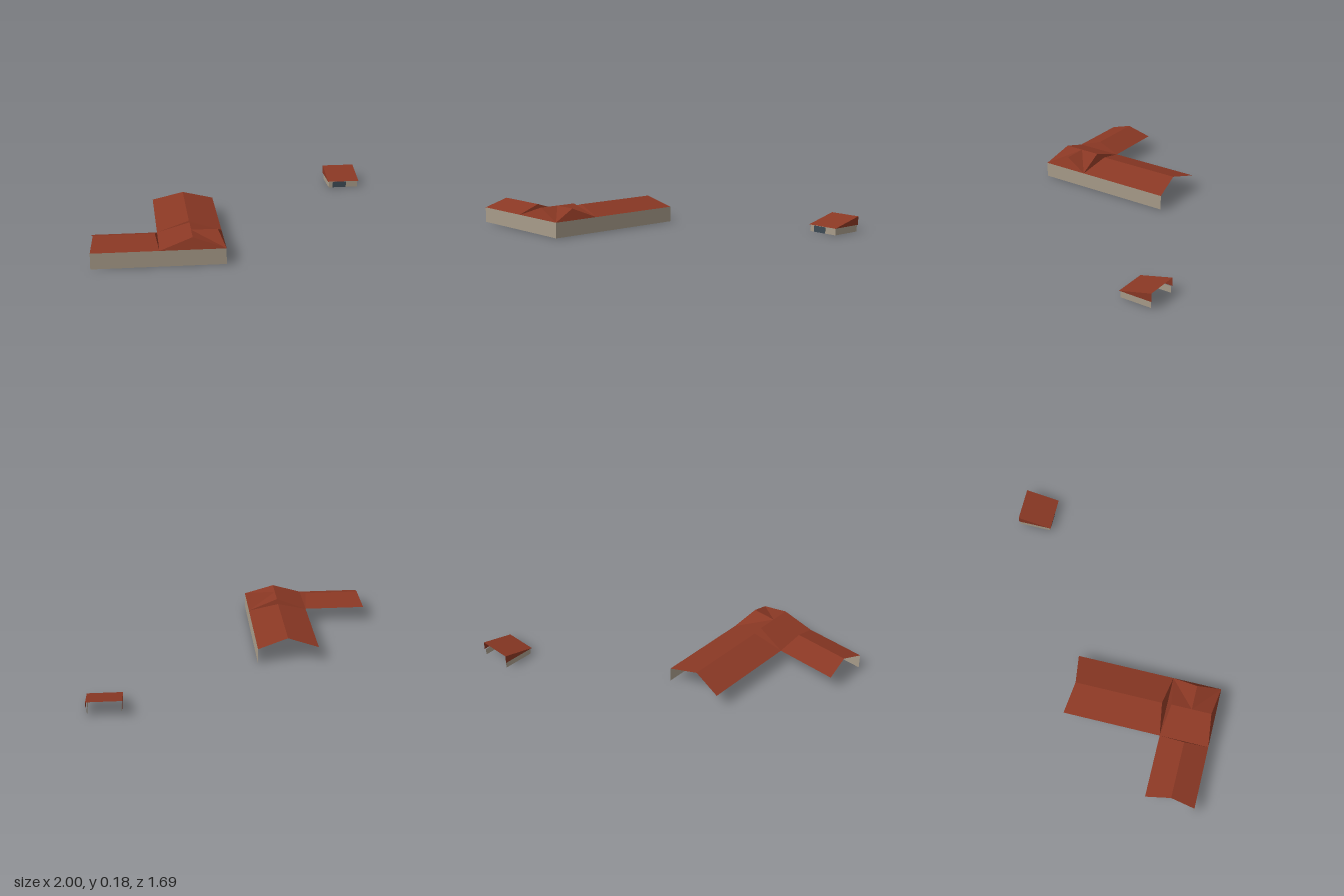
import * as THREE from 'three';

// Flat surface made of convex faces; each face lists its corners counter-clockwise from outside
function faces(name, material, polygons) {
  const positions = [];
  for (const p of polygons) {
    for (let i = 1; i < p.length - 1; i++) positions.push(...p[0], ...p[i], ...p[i + 1]);
  }
  const geometry = new THREE.BufferGeometry();
  geometry.setAttribute('position', new THREE.Float32BufferAttribute(positions, 3));
  geometry.computeVertexNormals();
  const mesh = new THREE.Mesh(geometry, material);
  mesh.name = name;
  return mesh;
}

// Upright walls along a plan path of [x, z] points
function walls(name, material, path, height) {
  const polygons = [];
  for (let i = 0; i < path.length - 1; i++) {
    const [ax, az] = path[i], [bx, bz] = path[i + 1];
    polygons.push([[ax, 0, az], [bx, 0, bz], [bx, height, bz], [ax, height, az]]);
  }
  return faces(name, material, polygons);
}

export function createModel() {
  const model = new THREE.Group();
  model.name = 'courtyardBuildings';

  const roofRed = new THREE.MeshStandardMaterial({ color: 0x8a3824, side: THREE.DoubleSide });
  roofRed.name = 'roofRed';
  const wallStone = new THREE.MeshStandardMaterial({ color: 0xa89c8a, side: THREE.DoubleSide });
  wallStone.name = 'wallStone';
  const doorSlate = new THREE.MeshStandardMaterial({ color: 0x3e4a54, side: THREE.DoubleSide });
  doorSlate.name = 'doorSlate';

  // Shared plan lines
  const eave = 0.105;
  const west = -1, inner = -0.57, mid = -0.36, east = -0.15;
  const back = -0.16, court = 0.51, axis = 0.68, front = 0.845;

  // Side wing: ridge along x, open at the far end, hipped towards the corner block
  const sideWing = new THREE.Group();
  sideWing.name = 'sideWing';
  {
    const a = [west, eave, court], b = [inner, eave, court];
    const c = [inner, eave, front], d = [west, eave, front];
    const r0 = [west + 0.02, 0.16, axis], r1 = [inner - 0.02, 0.16, axis];
    sideWing.add(faces('sideWingRoof', roofRed, [[d, c, r1, r0], [b, a, r0, r1], [c, b, r1]]));
    sideWing.add(walls('sideWingFrontWall', wallStone, [[west, front], [inner, front]], eave));
  }

  // Long wing: ridge along z, open at the back, hipped towards the corner block
  const longWing = new THREE.Group();
  longWing.name = 'longWing';
  {
    const a = [inner, eave, back], b = [east, eave, back];
    const c = [east, eave, court], d = [inner, eave, court];
    const r0 = [mid, 0.165, back + 0.032], r1 = [mid, 0.165, court - 0.035];
    longWing.add(faces('longWingRoof', roofRed, [[a, d, r1, r0], [c, b, r0, r1], [d, c, r1]]));
    longWing.add(walls('longWingOuterWall', wallStone, [[east, court], [east, back]], eave));
  }

  // Corner block: two crossing ridges with valleys running to the outer corners
  const cornerBlock = new THREE.Group();
  cornerBlock.name = 'cornerBlock';
  {
    const top = 0.177;
    const nw = [inner, eave, court], ne = [east, eave, court];
    const se = [east, eave, front], sw = [inner, eave, front];
    const rBack = [mid, top, court + 0.03], rFront = [mid, top, front - 0.03];
    const cross = [mid, top, axis], rEast = [east - 0.04, top, axis];
    cornerBlock.add(faces('cornerRoof', roofRed, [
      [nw, sw, rFront, rBack],
      [sw, se, rFront], [ne, nw, rBack],
      [ne, rBack, cross], [se, cross, rFront],
      [ne, cross, rEast], [se, rEast, cross],
      [se, ne, rEast],
    ]));
    cornerBlock.add(walls('cornerWalls', wallStone,
      [[inner, front], [mid, front], [east, front], [east, axis], [east, court]], eave));
  }

  // Detached shed: lean-to roof with closed gables, open at the back
  const shed = new THREE.Group();
  shed.name = 'shed';
  {
    const x0 = 0.768, x1 = 1, z0 = -0.845, z1 = -0.61, low = 0.047, high = 0.105;
    const gable = (x) => [[x, low, z1], [x, low, z0], [x, high, z0]];
    shed.add(faces('shedRoof', roofRed, [
      [[x0, low, z1], [x1, low, z1], [x1, high, z0], [x0, high, z0]],
      gable(x1), gable(x0).reverse(),
    ]));
    const wx0 = x0 + 0.007, wx1 = x1 - 0.007, wz0 = z0 + 0.005, wz1 = z1 - 0.008;
    shed.add(walls('shedWalls', wallStone, [[wx0, wz0], [wx0, wz1], [wx1, wz1], [wx1, wz0]], low));
    const door = new THREE.Mesh(new THREE.BoxGeometry(0.1, 0.043, 0.004), doorSlate);
    door.name = 'shedDoor';
    door.position.set(0.855, 0.0215, wz1);
    shed.add(door);
  }

  model.add(sideWing, longWing, cornerBlock, shed);
  return model;
}
